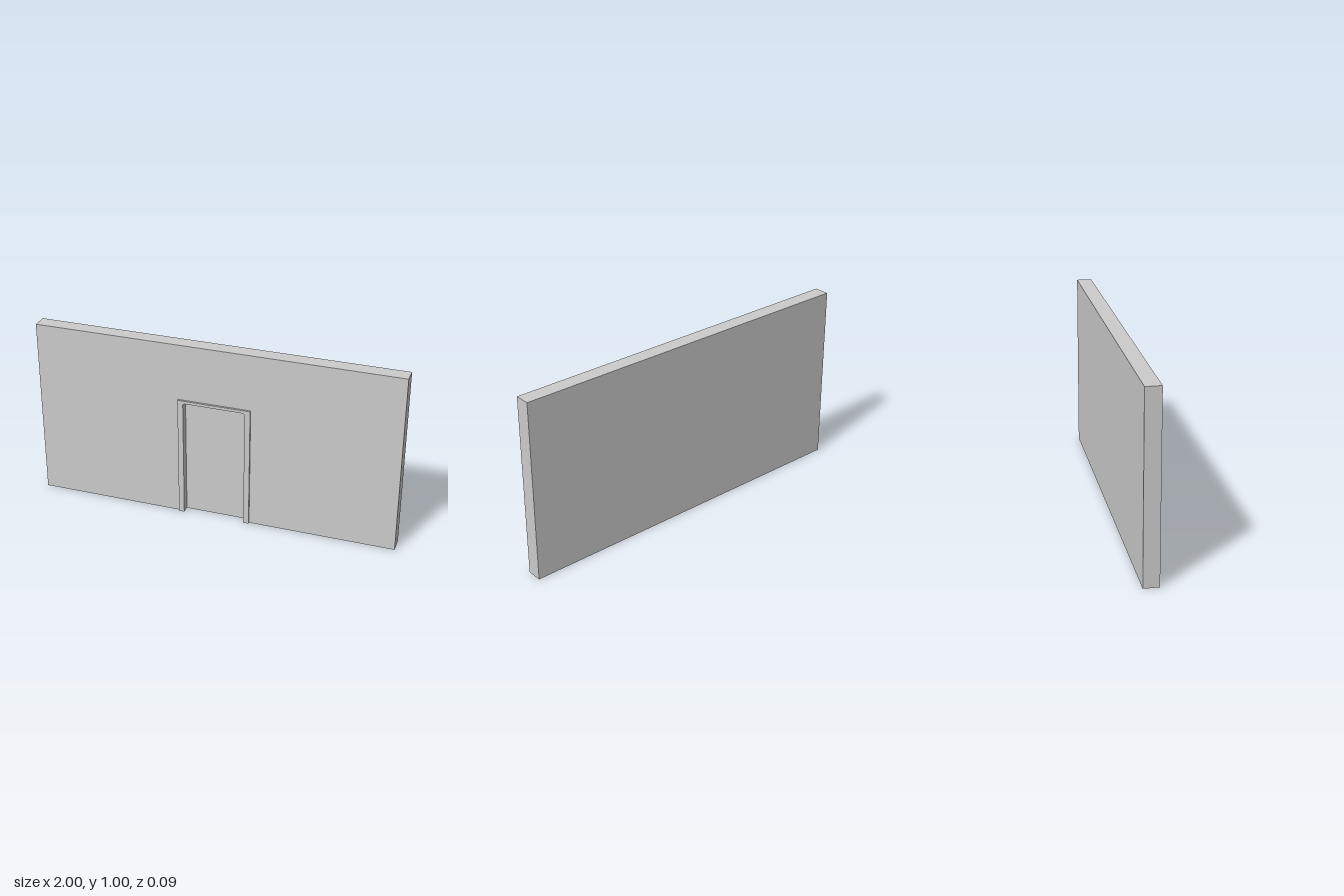
import * as THREE from 'three';

const BACK = -0.047, RECESS = 0.004, FACE = 0.036, FRONT = 0.047;

// Outline of an upright slab with a doorway notched out of its bottom edge
function archShape(halfWidth, height) {
  const w = 0.17, h = 0.67, c = 0.008; // doorway half width, height, corner cut
  const points = [
    [-halfWidth, 0], [-w, 0], [-w, h - c], [-w + c, h], [w - c, h], [w, h - c],
    [w, 0], [halfWidth, 0], [halfWidth, height], [-halfWidth, height],
  ];
  return new THREE.Shape(points.map(([x, y]) => new THREE.Vector2(x, y)));
}

export function createModel() {
  const group = new THREE.Group();
  const material = new THREE.MeshStandardMaterial({ color: 0xcccccc, flatShading: true });

  function add(name, geometry) {
    const mesh = new THREE.Mesh(geometry, material);
    mesh.name = name;
    group.add(mesh);
  }

  function addArch(name, halfWidth, height, z0, z1) {
    const geometry = new THREE.ExtrudeGeometry(archShape(halfWidth, height), {
      depth: z1 - z0, bevelEnabled: false,
    });
    add(name, geometry.translate(0, 0, z0));
  }

  // Solid rear of the wall, closing the back of the doorway recess
  const rear = new THREE.BoxGeometry(2, 1, RECESS - BACK);
  add('wallRear', rear.translate(0, 0.5, (RECESS + BACK) / 2));

  // Front of the wall with the doorway recess
  addArch('wallFront', 1, 1, RECESS, FACE);

  // Raised trim around the doorway
  addArch('doorFrame', 0.2, 0.686, FACE, FRONT);

  return group;
}
